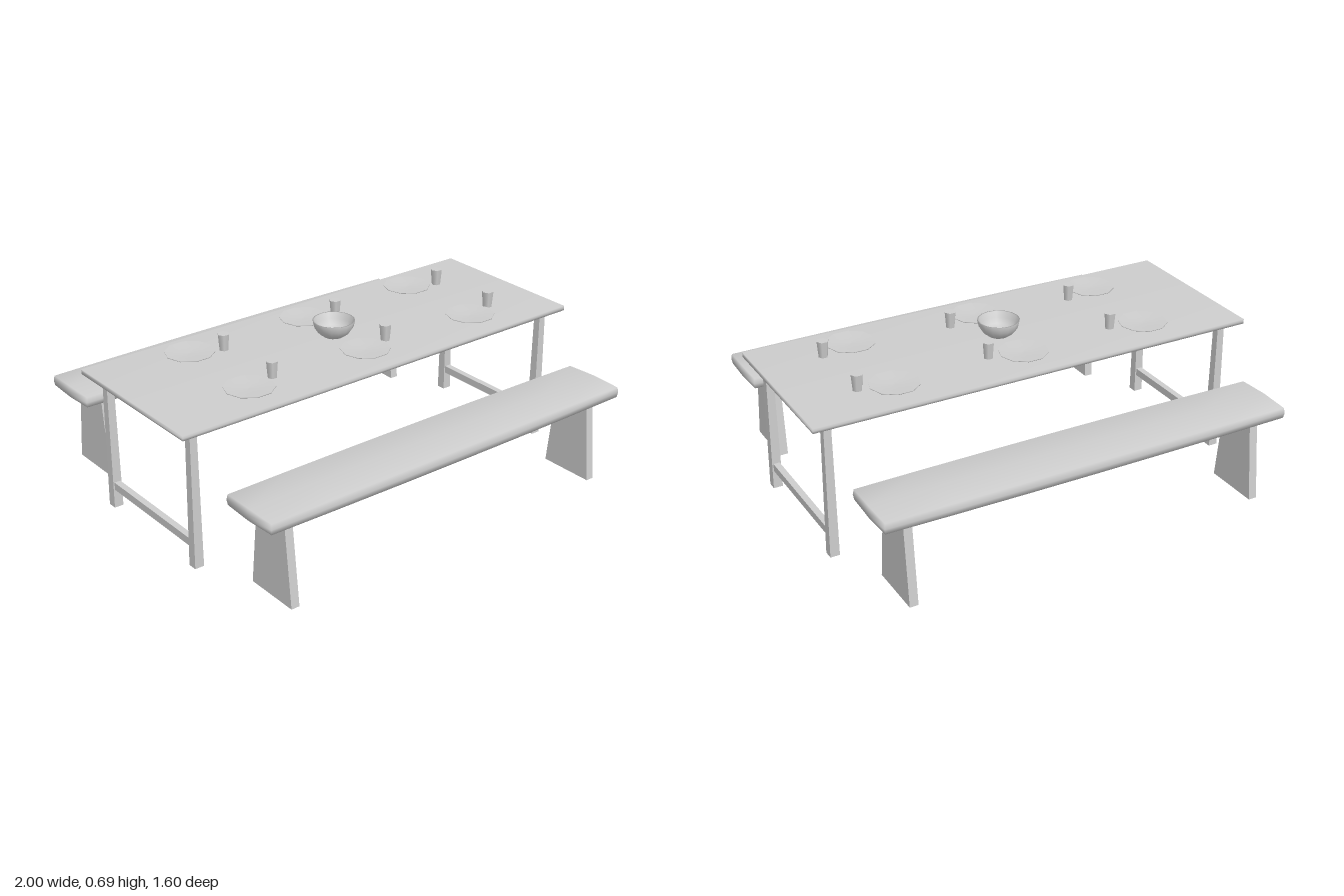
import * as THREE from 'three';
import { mergeVertices } from 'three/addons/utils/BufferGeometryUtils.js';

const grey = new THREE.MeshStandardMaterial({ color: 0xcccccc });
grey.name = 'plain grey';

function add(parent, name, geometry, x = 0, y = 0, z = 0) {
  const mesh = new THREE.Mesh(geometry, grey);
  mesh.name = name;
  mesh.position.set(x, y, z);
  parent.add(mesh);
  return mesh;
}

// Board with softened edges and smooth normals; bulge swells each face towards its middle
function slab(w, h, d, edge, bulge, segments) {
  const box = new THREE.BoxGeometry(w, h, d, segments, 2, 2);
  const p = box.attributes.position;
  const half = [w / 2, h / 2, d / 2];
  for (let i = 0; i < p.count; i++) {
    const v = [p.getX(i), p.getY(i), p.getZ(i)];
    const t = v.map((c, k) => c / half[k]);
    const outer = t.map((c) => Math.abs(c) > 0.999);
    const n = outer.filter(Boolean).length;
    const out = v.map((c, k) => {
      if (!outer[k]) return c;
      const a = t[(k + 1) % 3], b = t[(k + 2) % 3];
      const inset = (n > 1 ? edge : 0) + bulge * (a * a + b * b) / 2;
      return c - Math.sign(c) * inset;
    });
    p.setXYZ(i, ...out);
  }
  box.deleteAttribute('normal');
  box.deleteAttribute('uv');
  const merged = mergeVertices(box);
  merged.computeVertexNormals();
  return merged;
}

// Four-sided post standing on y = 0 that narrows towards the top
function taperedPost(w, d, h, topW, topD) {
  const g = new THREE.BoxGeometry(w, h, d).translate(0, h / 2, 0);
  const p = g.attributes.position;
  for (let i = 0; i < p.count; i++) {
    if (p.getY(i) > h / 2) p.setXYZ(i, p.getX(i) * topW / w, h, p.getZ(i) * topD / d);
  }
  g.computeVertexNormals();
  return g;
}

function lathe(points, sides) {
  return new THREE.LatheGeometry(points.map(([r, y]) => new THREE.Vector2(r, y)), sides).rotateY(Math.PI / 2);
}

function createTable() {
  const table = new THREE.Group();
  table.name = 'table';
  add(table, 'tableTop', slab(2, 0.027, 0.745, 0.003, 0, 2), 0, 0.6105, 0);
  add(table, 'centreRail', new THREE.BoxGeometry(1.75, 0.049, 0.022), 0, 0.563, 0);
  const leg = taperedPost(0.041, 0.041, 0.598, 0.032, 0.032);
  for (const x of [-0.918, 0.918]) {
    for (const z of [-0.301, 0.301]) add(table, 'tableLeg', leg, x, 0, z);
    add(table, 'crossBar', new THREE.BoxGeometry(0.028, 0.034, 0.57), x, 0.1, 0);
  }
  return table;
}

function createBench(z) {
  const bench = new THREE.Group();
  bench.name = 'bench';
  bench.position.z = z;
  add(bench, 'seat', slab(1.83, 0.065, 0.294, 0.003, 0.007, 6), 0, 0.387, 0);
  const leg = taperedPost(0.037, 0.248, 0.358, 0.037, 0.172);
  for (const x of [-0.793, 0.793]) add(bench, 'benchLeg', leg, x, 0, 0);
  return bench;
}

function createTableware() {
  const set = new THREE.Group();
  set.name = 'tableware';
  set.position.y = 0.624;
  const plate = lathe([[0, 0], [0.055, 0], [0.105, 0.014], [0.105, 0.017], [0.06, 0.011], [0, 0.009]], 10);
  const cup = new THREE.CylinderGeometry(0.026, 0.02, 0.071, 6).rotateY(Math.PI / 2);
  for (const x of [-0.583, 0, 0.583]) {
    for (const side of [-1, 1]) {
      add(set, 'plate', plate, x, 0, side * 0.209);
      add(set, 'cup', cup, x + 0.14, 0.0355, side * 0.168);
    }
  }
  // Hollow serving bowl
  const bowl = lathe([
    [0, 0.002], [0.045, 0.002], [0.068, 0.02], [0.083, 0.043], [0.09, 0.071],
    [0.084, 0.071], [0.076, 0.045], [0.06, 0.024], [0.035, 0.012], [0, 0.01],
  ], 16);
  add(set, 'bowl', bowl);
  return set;
}

export function createModel() {
  const model = new THREE.Group();
  model.name = 'diningTableWithBenches';
  model.add(createTable(), createBench(0.651), createBench(-0.651), createTableware());
  return model;
}
